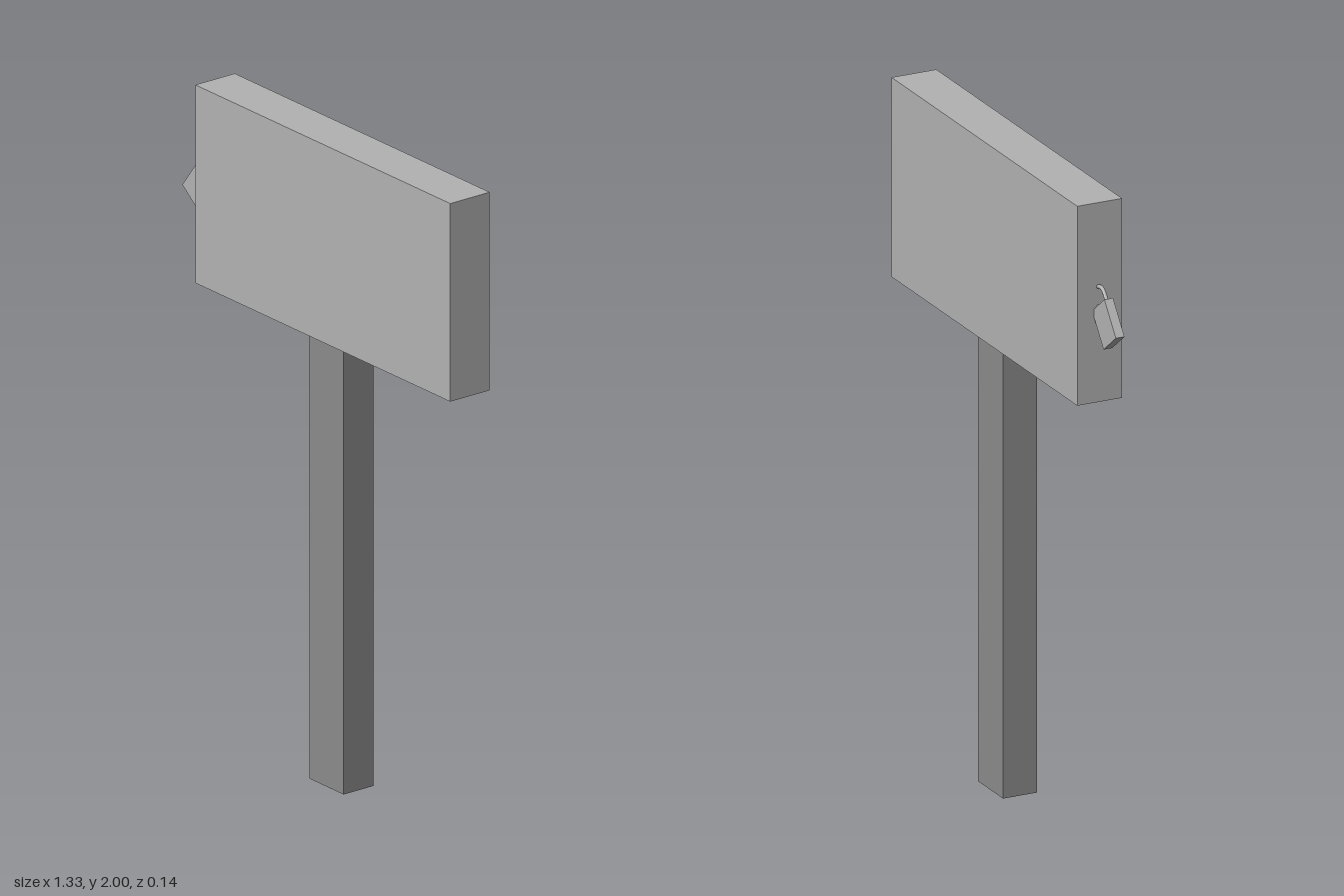
import * as THREE from 'three';

export function createModel() {
  const model = new THREE.Group();
  const lightGrey = new THREE.MeshStandardMaterial({ color: 0xb2b2b2 });
  lightGrey.name = 'light grey';
  const darkGrey = new THREE.MeshStandardMaterial({ color: 0x8b8b8b, side: THREE.DoubleSide });
  darkGrey.name = 'dark grey';

  function add(parent, name, geometry, material, x = 0, y = 0, z = 0) {
    const mesh = new THREE.Mesh(geometry, material);
    mesh.name = name;
    mesh.position.set(x, y, z);
    parent.add(mesh);
    return mesh;
  }

  // Sign board
  add(model, 'board', new THREE.BoxGeometry(1.19, 0.615, 0.145), lightGrey, 0.07, 1.6925, 0);

  // Hollow post, open at both ends: a four-sided tube stretched to a rectangle
  const post = new THREE.CylinderGeometry(Math.SQRT1_2, Math.SQRT1_2, 1.386, 4, 1, true)
    .rotateY(Math.PI / 4)
    .scale(0.16, 1, 0.11)
    .toNonIndexed();
  post.computeVertexNormals();
  add(model, 'post', post, darkGrey, 0.065, 0.693, 0);

  // Padlock tilted against the side of the board
  const padlock = new THREE.Group();
  padlock.name = 'padlock';
  padlock.position.set(-0.59, 1.648, -0.005);
  padlock.rotation.z = -0.66;
  model.add(padlock);
  add(padlock, 'lockBody', new THREE.BoxGeometry(0.1, 0.12, 0.028), lightGrey);

  // Shackle: two legs joined by a half circle
  const path = new THREE.CurvePath();
  const r = 0.034;
  const v = (x, y) => new THREE.Vector3(x, y, 0);
  const arc = [];
  for (let i = 0; i <= 8; i++) {
    const a = Math.PI * (1 - i / 8);
    arc.push(v(r * Math.cos(a), 0.08 + r * Math.sin(a)));
  }
  path.add(new THREE.LineCurve3(v(-r, 0.05), v(-r, 0.08)));
  path.add(new THREE.CatmullRomCurve3(arc));
  path.add(new THREE.LineCurve3(v(r, 0.08), v(r, 0.05)));
  add(padlock, 'shackle', new THREE.TubeGeometry(path, 24, 0.006, 8), lightGrey);

  // Dark plate on the lock face
  const plate = new THREE.Shape([
    new THREE.Vector2(0.008, 0.045),
    new THREE.Vector2(0.05, -0.02),
    new THREE.Vector2(0.045, 0.055),
  ]);
  add(padlock, 'lockPlate', new THREE.ExtrudeGeometry(plate, { depth: 0.002, bevelEnabled: false }),
    darkGrey, 0, 0, 0.0135);

  return model;
}
